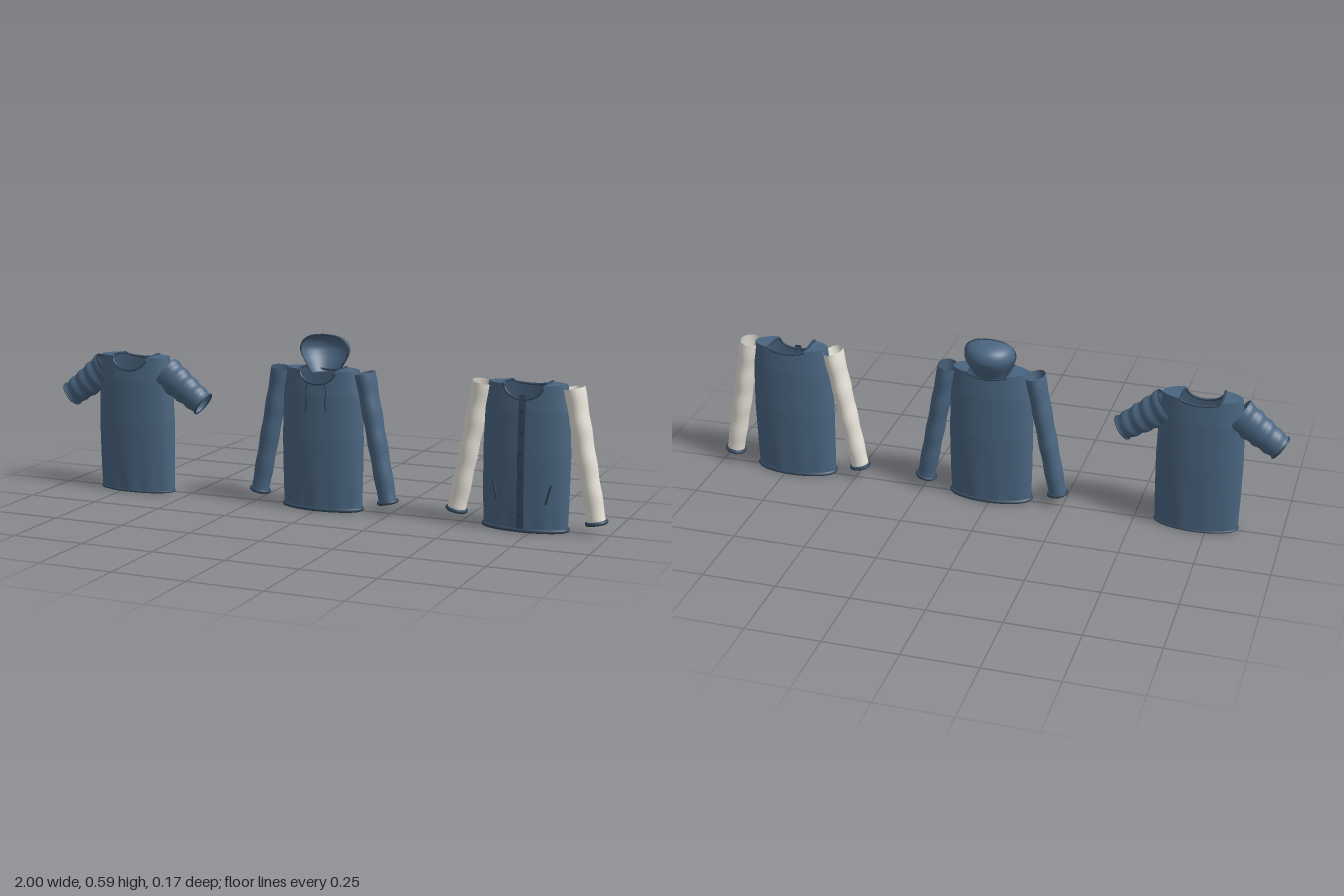
import * as THREE from 'three';
import { ParametricGeometry } from 'three/addons/geometries/ParametricGeometry.js';

const mat = (color) => new THREE.MeshStandardMaterial({ color, side: THREE.DoubleSide });
const blue = mat(0x4a6580), trim = mat(0x34495e), cream = mat(0xe6e2d8), dark = mat(0x2a3a4a);
const V = (x, y, z) => new THREE.Vector3(x, y, z);
const TOP = 0.484, CZ = 0.01, NECK = 0.066;

// piecewise linear lookup, softened between stations
function lookup(table, t) {
  let i = 0;
  while (i < table.length - 2 && t > table[i + 1][0]) i++;
  const [a, b] = [table[i], table[i + 1]];
  const k = THREE.MathUtils.clamp((t - a[0]) / (b[0] - a[0]), 0, 1);
  return a[1] + (b[1] - a[1]) * k;
}
const bodyWidth = (y) => lookup([[0, 0.141], [0.1, 0.144], [0.25, 0.146], [0.4, 0.141], [TOP, 0.131]], y);
const bodyDepth = (y) => lookup([[0, 0.06], [0.1, 0.0635], [0.25, 0.0665], [0.4, 0.063], [TOP, 0.056]], y);

function add(group, name, geometry, material) {
  const mesh = new THREE.Mesh(geometry, material);
  mesh.name = name;
  group.add(mesh);
  return mesh;
}
function surface(group, name, material, nu, nv, fn) {
  return add(group, name, new ParametricGeometry((u, v, p) => p.copy(fn(u, v)), nu, nv), material);
}
function tube(group, name, points, radius, material, closed = false, segments = 80) {
  const curve = new THREE.CatmullRomCurve3(points, closed);
  return add(group, name, new THREE.TubeGeometry(curve, segments, radius, 8, closed), material);
}
const ring = (n, fn) => Array.from({ length: n }, (_, i) => fn((i / n) * Math.PI * 2));

// point on the front (side 1) or back (side -1) of the body
function onBody(x, y, side = 1, lift = 0) {
  const s = Math.sqrt(Math.max(0, 1 - (x / bodyWidth(y)) ** 2));
  return V(x, y, CZ + side * (bodyDepth(y) * s + lift));
}
function neckHeight(x, front) {
  const k = Math.abs(x) / NECK;
  return k >= 1 ? TOP : TOP - (front ? 0.046 : 0.014) * Math.sqrt(1 - k * k);
}

// open torso, flat shoulders, neckband and hem
function body(group, hemRadius) {
  surface(group, 'torso', blue, 120, 30, (u, v) => {
    const a = u * Math.PI * 2, c = Math.cos(a), s = -Math.sin(a);
    const y = 0.01 + v * (neckHeight(c * bodyWidth(TOP), s > 0) - 0.01);
    const fold = 1 + 0.025 * Math.sin(a * 11) * Math.max(0, 1 - y / 0.2);
    return V(c * bodyWidth(y), y, CZ + s * bodyDepth(y) * fold);
  });
  for (const side of [-1, 1]) {
    surface(group, side > 0 ? 'leftShoulder' : 'rightShoulder', blue, 16, 8, (u, v) => {
      const x = NECK + (bodyWidth(TOP) - NECK) * u;
      const z = onBody(x, TOP).z - CZ;
      return V(side * x, TOP, CZ + side * (1 - 2 * v) * z);
    });
  }
  tube(group, 'neckband', ring(32, (a) => {
    const x = NECK * Math.cos(a), front = Math.sin(a) > 0;
    return onBody(x, neckHeight(x, front), front ? 1 : -1);
  }), 0.004, trim, true, 120);
  tube(group, 'hem', ring(32, (a) =>
    V(0.141 * Math.cos(a), 0.003 + hemRadius, CZ + 0.06 * Math.sin(a))), hemRadius, trim, true, 100);
}

// wrinkled sleeve pair; r0 and r1 are [in-plane, depth] radii at shoulder and cuff
function sleeves(group, start, end, r0, r1, material, waves, amount, cuffRadius) {
  for (const side of [-1, 1]) {
    const label = side > 0 ? 'left' : 'right';
    const a = V(side * start[0], start[1], CZ), b = V(side * end[0], end[1], CZ);
    const d = b.clone().sub(a).normalize(), e = V(-d.y, d.x, 0);
    const at = (angle, t, swell = 1) => {
      const rx = THREE.MathUtils.lerp(r0[0], r1[0], t) * swell;
      const rz = THREE.MathUtils.lerp(r0[1], r1[1], t) * swell;
      return a.clone().lerp(b, t).addScaledVector(e, rx * Math.cos(angle)).add(V(0, 0, rz * Math.sin(angle)));
    };
    surface(group, label + 'Sleeve', material, 32, 60, (u, v) => {
      const angle = u * Math.PI * 2;
      return at(angle, v, 1 + amount * Math.sin(v * waves * Math.PI * 2 + 0.8 * Math.sin(angle)));
    });
    tube(group, label + 'Cuff', ring(20, (angle) => at(angle, 1)), cuffRadius, trim, true, 48);
  }
}
const longSleeves = (group, material) =>
  sleeves(group, [0.152, 0.478], [0.236, 0.045], [0.033, 0.045], [0.031, 0.029], material, 4, 0.03, 0.007);

function tShirt() {
  const g = new THREE.Group();
  g.name = 'tShirt';
  body(g, 0.004);
  sleeves(g, [0.118, 0.43], [0.262, 0.328], [0.06, 0.047], [0.043, 0.04], blue, 4, 0.04, 0.003);
  return g;
}

function hoodie() {
  const g = new THREE.Group();
  g.name = 'hoodie';
  body(g, 0.007);
  longSleeves(g, blue);
  // hood: half-ellipse sections stacked up to a closed crown
  const wide = new THREE.SplineCurve([[0.046, 0.463], [0.062, 0.49], [0.08, 0.52], [0.087, 0.546],
    [0.076, 0.573], [0.045, 0.59], [0.001, 0.595]].map(([x, y]) => new THREE.Vector2(x, y)));
  const hoodPoint = (angle, t) => {
    const p = wide.getPoint(t);
    return V(p.x * Math.cos(angle), p.y, -0.002 - 0.97 * p.x * Math.sin(angle));
  };
  surface(g, 'hood', blue, 40, 30, (u, v) => hoodPoint(u * Math.PI, v));
  const rim = [];
  for (let i = 0; i <= 12; i++) rim.push(hoodPoint(0, i / 12));
  for (let i = 11; i >= 0; i--) rim.push(hoodPoint(Math.PI, i / 12));
  tube(g, 'hoodRim', rim, 0.003, trim);
  for (const side of [-1, 1]) {
    tube(g, side > 0 ? 'leftDrawstring' : 'rightDrawstring', [[0.032, 0.445], [0.036, 0.41], [0.033, 0.38], [0.038, 0.345]]
      .map(([x, y]) => onBody(side * x, y, 1, 0.002)), 0.002, dark, false, 20);
  }
  return g;
}

function jacket() {
  const g = new THREE.Group();
  g.name = 'jacket';
  body(g, 0.007);
  longSleeves(g, cream);
  // front placket follows the curve of the body
  surface(g, 'placket', trim, 4, 30, (u, v) => onBody((u - 0.5) * 0.02, 0.014 + v * 0.438, 1, 0.003));
  for (const x of [-0.01, 0.01]) {
    tube(g, 'placketEdge', [0.014, 0.12, 0.25, 0.35, 0.452].map((y) => onBody(x, y, 1, 0.001)), 0.002, trim, false, 30);
  }
  for (let i = 0; i < 6; i++) {
    const button = add(g, 'button', new THREE.CylinderGeometry(0.005, 0.005, 0.004, 16), dark);
    button.position.copy(onBody(0, 0.06 + i * 0.068, 1, 0.004));
    button.rotation.x = Math.PI / 2;
  }
  // slanted pocket welts
  for (const side of [-1, 1]) {
    tube(g, side > 0 ? 'leftPocket' : 'rightPocket', [[0.097, 0.164], [0.089, 0.132], [0.081, 0.1]]
      .map(([x, y]) => onBody(side * x, y, 1, 0.001)), 0.0035, dark, false, 16);
  }
  return g;
}

export function createModel() {
  const model = new THREE.Group();
  model.name = 'clothingSet';
  [tShirt(), hoodie(), jacket()].forEach((garment, i) => {
    garment.position.set(0.006 + (i - 1) * 0.716, 0, 0);
    model.add(garment);
  });
  return model;
}
